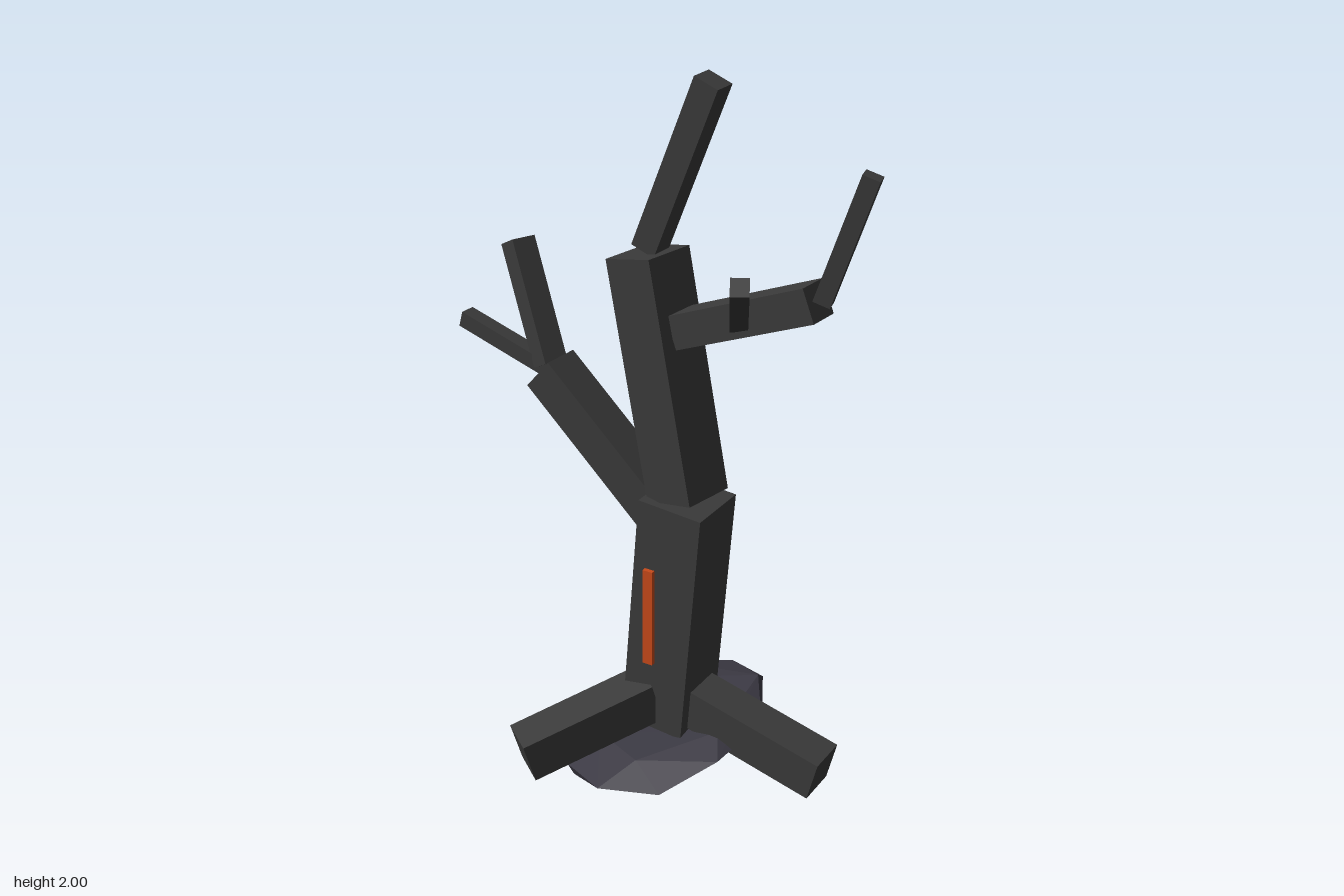
import * as THREE from 'three';
import { ConvexGeometry } from 'three/addons/geometries/ConvexGeometry.js';

const mat = (color) => new THREE.MeshStandardMaterial({ color, flatShading: true });

// Square beam running from a to b, with one pair of sides kept upright
function beam(name, a, b, width, material) {
  const start = new THREE.Vector3(...a), end = new THREE.Vector3(...b);
  const along = end.clone().sub(start);
  const mesh = new THREE.Mesh(new THREE.BoxGeometry(width, along.length(), width), material);
  along.normalize();
  const side = new THREE.Vector3(0, 1, 0).cross(along).normalize();
  const across = along.clone().cross(side);
  mesh.quaternion.setFromRotationMatrix(new THREE.Matrix4().makeBasis(across, along, side));
  mesh.position.copy(start).add(end).multiplyScalar(0.5);
  mesh.name = name;
  return mesh;
}

// Flattened, tilted stone: a rim with a smaller ring of corners below and above
function stone(material) {
  const rim = [[0.085, -0.34], [0.23, -0.26], [0.32, -0.09], [0.3, 0.13], [0.2, 0.275],
    [0.035, 0.33], [-0.13, 0.235], [-0.2, 0.08], [-0.18, -0.13], [-0.1, -0.25]];
  const under = [[-0.11, 0.23], [0.2, 0.13], [0.2, -0.14], [0.03, -0.22], [-0.13, -0.04]];
  const over = under.map(([x, z]) => [0.12 - x, -z]);
  const tilt = (lift) => ([x, z], i) =>
    new THREE.Vector3(x, 0.1 + 0.15 * (x - 0.06) - 0.13 * z + lift(i), z);
  const points = [
    ...rim.map(tilt((i) => (i % 2 ? 0.015 : -0.01))),
    ...under.map(tilt(() => -0.045)),
    ...over.map(tilt(() => 0.04)),
  ];
  const mesh = new THREE.Mesh(new ConvexGeometry(points), material);
  mesh.name = 'baseStone';
  return mesh;
}

export function createModel() {
  const model = new THREE.Group();
  model.name = 'deadTree';
  const bark = mat(0x3a3a3a), rock = mat(0x3a3842), ember = mat(0xc84a1a);

  model.add(stone(rock));

  // Trunk, branches and twigs
  const wood = [
    ['lowerTrunk', [0.065, 0.145, 0], [0.12, 0.85, 0], 0.192],
    ['upperTrunk', [0.122, 0.86, 0.003], [-0.022, 1.513, -0.025], 0.155],
    ['topBranch', [-0.018, 1.525, -0.03], [0.163, 1.987, -0.03], 0.072],
    ['leftBranch', [0.09, 1.33, -0.01], [0.497, 1.5, 0.025], 0.092],
    ['leftTip', [0.51, 1.5, 0.025], [0.613, 1.828, 0], 0.046],
    ['frontTwig', [0.285, 1.4, 0.035], [0.435, 1.615, 0.31], 0.046],
    ['rightBranch', [0.08, 0.752, 0], [-0.337, 1.117, -0.025], 0.113],
    ['rightUpperTwig', [-0.335, 1.13, -0.025], [-0.48, 1.443, -0.09], 0.07],
    ['rightLowerTwig', [-0.32, 1.11, -0.03], [-0.635, 1.2, -0.043], 0.046],
    ['leftRoot', [0.13, 0.225, 0], [0.557, 0.12, 0], 0.12],
  ];
  for (const [name, a, b, width] of wood) model.add(beam(name, a, b, width, bark));

  // Mirrored pair of splayed roots
  for (const s of [1, -1]) {
    const name = s > 0 ? 'frontRightRoot' : 'backRightRoot';
    model.add(beam(name, [0.035, 0.228, 0.055 * s], [-0.193, 0.12, 0.36 * s], 0.12, bark));
  }

  // Glowing slit on the trunk
  const slit = new THREE.Mesh(new THREE.BoxGeometry(0.03, 0.295, 0.02), ember);
  slit.position.set(0.06, 0.508, 0.099);
  slit.name = 'glowingSlit';
  model.add(slit);

  return model;
}
